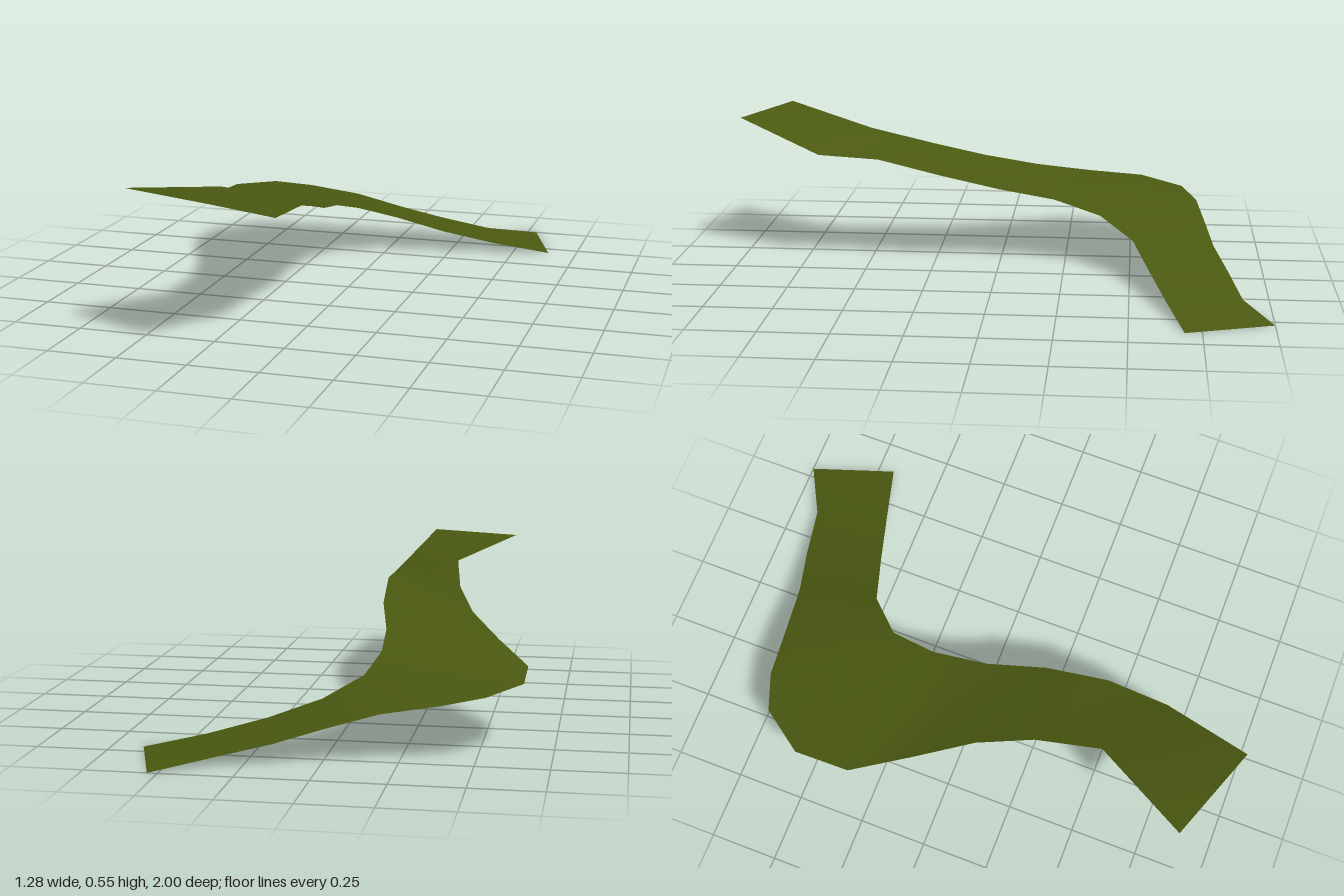
import * as THREE from 'three';

// The two edges of the ribbon, from the high front end to the low back end
const outerEdge = [
  [-0.51, 0.545, 0.87], [-0.305, 0.485, 0.52], [-0.34, 0.42, 0.28], [-0.41, 0.36, 0.08],
  [-0.525, 0.3, -0.12], [-0.645, 0.25, -0.33], [-0.645, 0.235, -0.54], [-0.53, 0.22, -0.7],
  [-0.39, 0.2, -0.755], [-0.19, 0.17, -0.78], [-0.01, 0.12, -0.81], [0.15, 0.075, -0.855],
  [0.35, 0.03, -0.9], [0.535, 0, -1],
];
const innerEdge = [
  [-0.16, 0.545, 1], [-0.05, 0.43, 0.68], [-0.035, 0.42, 0.45], [-0.05, 0.36, 0.22],
  [-0.095, 0.3, 0], [-0.11, 0.26, -0.21], [-0.075, 0.21, -0.385], [0.05, 0.15, -0.51],
  [0.23, 0.09, -0.57], [0.43, 0.04, -0.63], [0.64, 0, -0.69],
];
// Inner point facing each outer point; the bend fans out from one inner point
const partner = [0, 1, 2, 3, 4, 5, 6, 6, 6, 6, 7, 8, 9, 10];

function ribbonGeometry() {
  const n = outerEdge.length;
  const index = [];
  for (let i = 0; i < n - 1; i++) {
    const b0 = n + partner[i], b1 = n + partner[i + 1];
    index.push(i, b0, i + 1);
    if (b0 !== b1) index.push(b0, b1, i + 1);
  }
  const geometry = new THREE.BufferGeometry();
  geometry.setAttribute('position', new THREE.Float32BufferAttribute([...outerEdge, ...innerEdge].flat(), 3));
  geometry.setIndex(index);
  geometry.computeVertexNormals();
  return geometry;
}

export function createModel() {
  const group = new THREE.Group();
  group.name = 'slopingPath';
  const olive = new THREE.MeshStandardMaterial({ color: 0x4b5a11 });
  olive.name = 'olive green';
  olive.side = THREE.DoubleSide;

  // Thin open sheet winding downhill
  const path = new THREE.Mesh(ribbonGeometry(), olive);
  path.name = 'pathSurface';
  group.add(path);
  return group;
}
